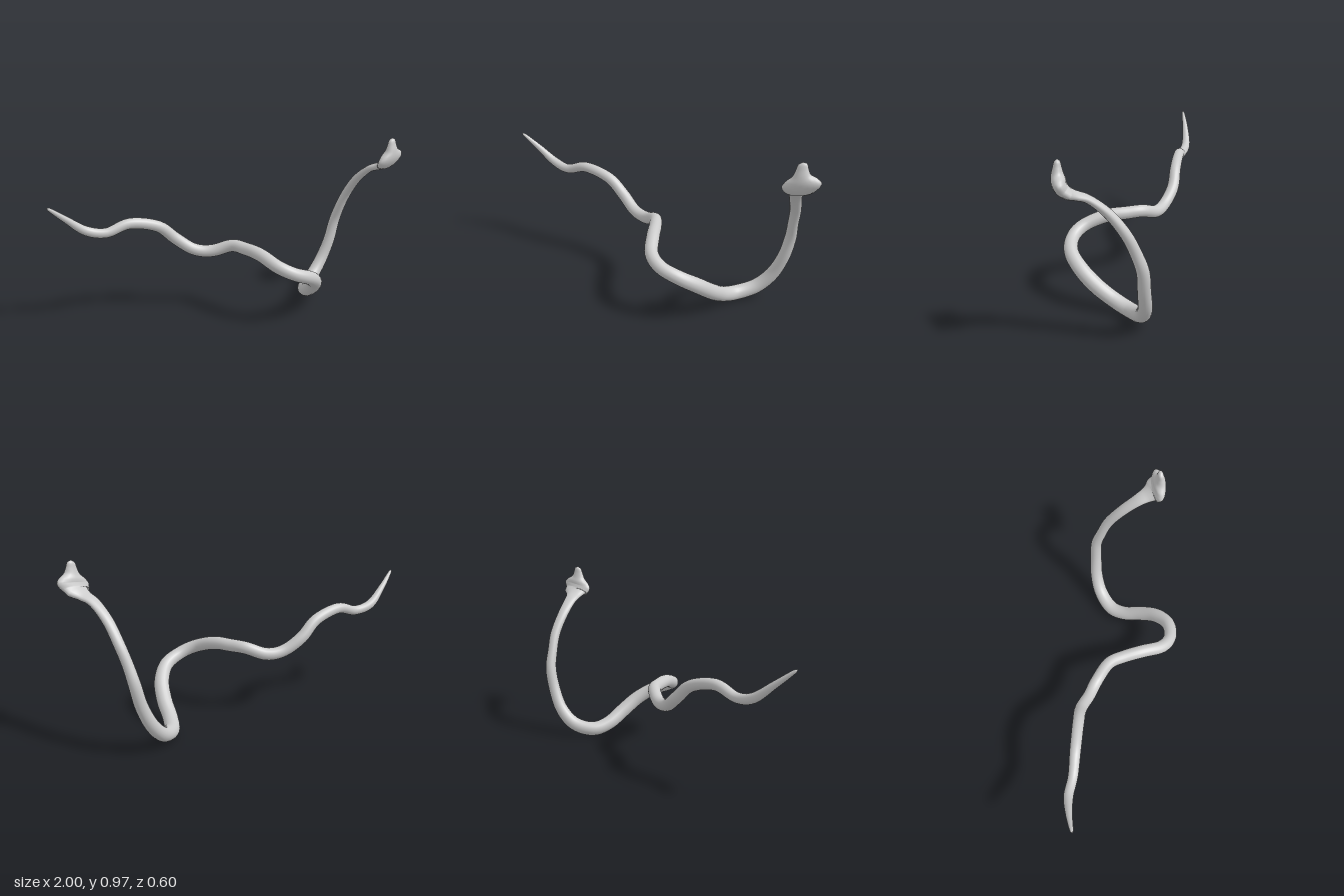
import * as THREE from 'three';

// Stations from snout to tail tip: x, y, z, half width, half thickness
const HEAD = [
  [0.91, 0.973, 0.065, 0.003, 0.003],
  [0.91, 0.962, 0.065, 0.022, 0.014],
  [0.91, 0.935, 0.066, 0.031, 0.021],
  [0.91, 0.905, 0.066, 0.045, 0.029],
  [0.91, 0.88, 0.063, 0.078, 0.034],
  [0.91, 0.855, 0.057, 0.094, 0.033],
  [0.90, 0.826, 0.04, 0.078, 0.03],
  [0.875, 0.803, 0.005, 0.05, 0.022],
];
const BODY = [
  [0.84, 0.775, -0.05, 0.037, 0.02],
  [0.805, 0.7, -0.13, 0.032, 0.024],
  [0.78, 0.6, -0.2, 0.03, 0.027],
  [0.755, 0.5, -0.24, 0.029, 0.029],
  [0.735, 0.4, -0.268, 0.032, 0.032],
  [0.705, 0.28, -0.267, 0.034, 0.034],
  [0.65, 0.16, -0.256, 0.037, 0.037],
  [0.575, 0.075, -0.215, 0.04, 0.04],
  [0.495, 0.045, -0.135, 0.042, 0.042],
  [0.462, 0.07, -0.04, 0.042, 0.042],
  [0.452, 0.13, 0.06, 0.043, 0.043],
  [0.425, 0.2, 0.155, 0.042, 0.042],
  [0.36, 0.262, 0.235, 0.039, 0.039],
  [0.26, 0.305, 0.262, 0.037, 0.037],
  [0.175, 0.345, 0.225, 0.037, 0.037],
  [0.11, 0.385, 0.12, 0.037, 0.037],
  [0.055, 0.393, 0.02, 0.036, 0.036],
  [0, 0.392, -0.055, 0.035, 0.035],
  [-0.1, 0.355, -0.105, 0.035, 0.035],
  [-0.2, 0.367, -0.13, 0.034, 0.034],
  [-0.3, 0.435, -0.153, 0.034, 0.034],
  [-0.4, 0.52, -0.143, 0.032, 0.032],
  [-0.56, 0.558, -0.125, 0.03, 0.03],
  [-0.69, 0.522, -0.113, 0.027, 0.027],
  [-0.8, 0.545, -0.113, 0.026, 0.026],
  [-0.9, 0.625, -0.085, 0.018, 0.018],
  [-0.98, 0.695, -0.052, 0.01, 0.01],
  [-0.998, 0.711, -0.043, 0.002, 0.002],
];
const SIDES = 20;
const STEPS = 6; // rings per station

export function createModel() {
  const group = new THREE.Group();
  const stations = [...HEAD, ...BODY];
  const smooth = (pts) => new THREE.CatmullRomCurve3(pts, false, 'catmullrom', 0.5);
  const spine = smooth(stations.map(([x, y, z]) => new THREE.Vector3(x, y, z)));
  const girth = smooth(stations.map(([, , , w, t]) => new THREE.Vector3(w, t, 0)));

  // Elliptical rings; the width axis is carried along the spine from the hood
  const rings = (stations.length - 1) * STEPS;
  const headRings = (HEAD.length - 1) * STEPS;
  const across = new THREE.Vector3(0.92, 0.2, -0.35).normalize();
  const pos = [];
  for (let i = 0; i <= rings; i++) {
    const c = spine.getPoint(i / rings);
    const g = girth.getPoint(i / rings);
    const along = spine.getTangent(i / rings);
    if (i > headRings - STEPS) across.addScaledVector(along, -across.dot(along)).normalize();
    const depth = new THREE.Vector3().crossVectors(along, across).normalize();
    for (let j = 0; j < SIDES; j++) {
      const a = (j / SIDES) * Math.PI * 2;
      const p = c.clone()
        .addScaledVector(across, Math.cos(a) * g.x)
        .addScaledVector(depth, Math.sin(a) * g.y);
      pos.push(p.x, p.y, p.z);
    }
  }

  // Faces between rings first and last, with closed ends on the snout and tail
  const faces = (first, last) => {
    const index = [];
    for (let i = first; i < last; i++) {
      for (let j = 0; j < SIDES; j++) {
        const k = (j + 1) % SIDES;
        const a = i * SIDES + j, b = i * SIDES + k;
        index.push(a, b, b + SIDES, a, b + SIDES, a + SIDES);
      }
    }
    for (let j = 1; j < SIDES - 1; j++) {
      if (first === 0) index.push(0, j + 1, j);
      const e = rings * SIDES;
      if (last === rings) index.push(e, e + j, e + j + 1);
    }
    return index;
  };

  // Normals are found on the whole skin so the neck joint stays smooth
  const skin = new THREE.BufferGeometry();
  skin.setAttribute('position', new THREE.Float32BufferAttribute(pos, 3));
  skin.setIndex(faces(0, rings));
  skin.computeVertexNormals();

  const material = new THREE.MeshStandardMaterial({ color: 0xcccccc });
  const addPart = (name, first, last) => {
    const geometry = skin.clone().setIndex(faces(first, last));
    const mesh = new THREE.Mesh(geometry, material);
    mesh.name = name;
    group.add(mesh);
  };
  addPart('headAndHood', 0, headRings);
  addPart('bodyAndTail', headRings, rings);

  group.name = 'snake';
  return group;
}
